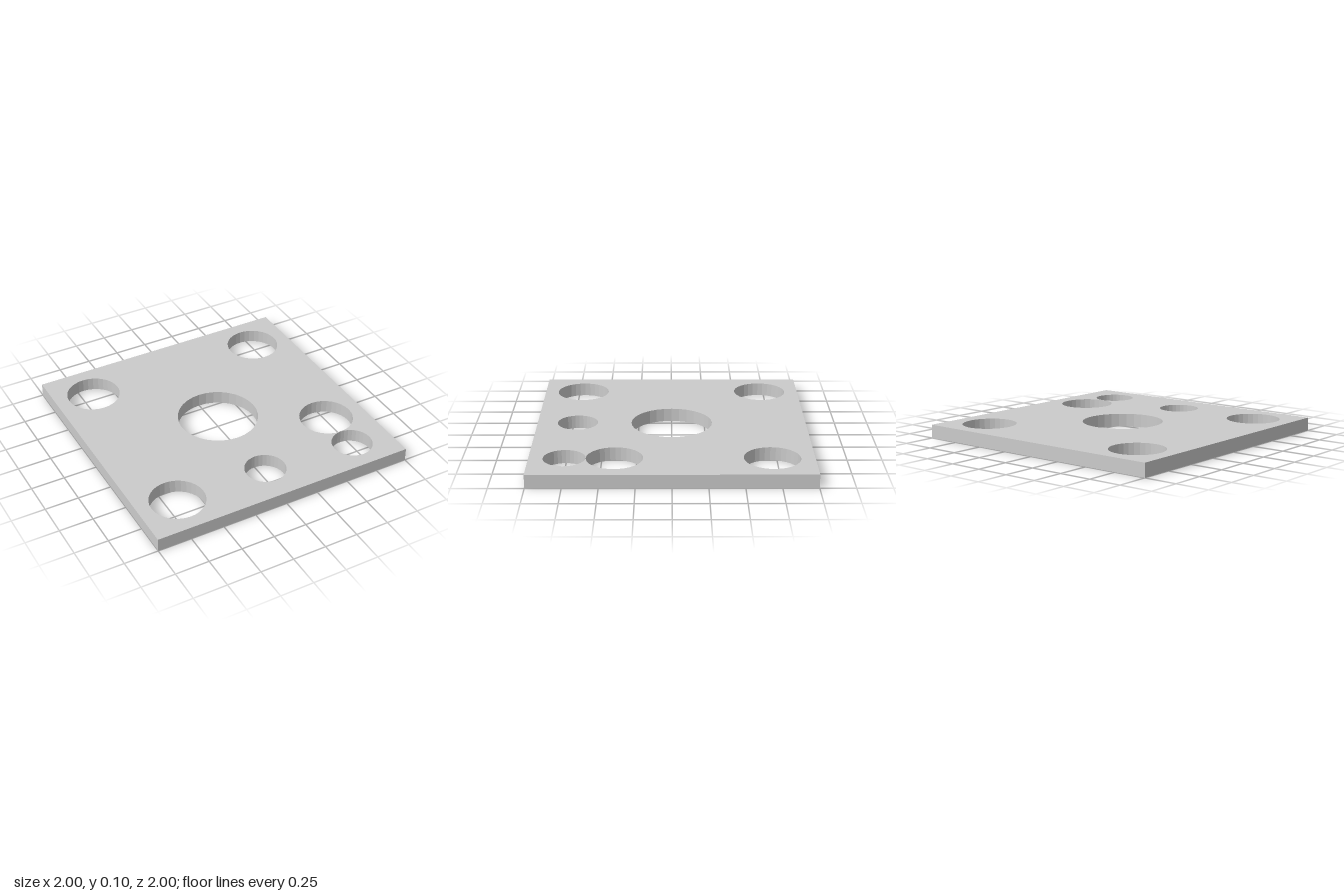
import * as THREE from 'three';

const SIDES = 32;
const THICKNESS = 0.1;

// Round holes: x, z, radius
const HOLES = [
  [0, 0, 0.3],
  [-0.7, -0.7, 0.2],
  [0.7, -0.7, 0.2],
  [-0.7, 0.7, 0.2],
  [0.7, 0.4, 0.2],
  [0, 0.7, 0.15],
  [0.7, 0.75, 0.1495], // a hair under 0.15 so it stays clear of its neighbour
];

// Faceted circular hole; the shape's y is the model's -z
function holePath(x, z, r) {
  const points = [];
  for (let i = 0; i < SIDES; i++) {
    const a = (i / SIDES) * Math.PI * 2;
    points.push(new THREE.Vector2(x + r * Math.cos(a), -z + r * Math.sin(a)));
  }
  return new THREE.Path(points);
}

export function createModel() {
  const group = new THREE.Group();
  group.name = 'perforatedPlate';

  // Square plate outline with the holes cut through
  const outline = new THREE.Shape([
    new THREE.Vector2(-1, -1),
    new THREE.Vector2(1, -1),
    new THREE.Vector2(1, 1),
    new THREE.Vector2(-1, 1),
  ]);
  outline.holes = HOLES.map(([x, z, r]) => holePath(x, z, r));

  // Extrude, then lay flat on the ground
  const geometry = new THREE.ExtrudeGeometry(outline, { depth: THICKNESS, bevelEnabled: false });
  geometry.rotateX(-Math.PI / 2);

  const plate = new THREE.Mesh(
    geometry,
    new THREE.MeshStandardMaterial({ color: 0xcccccc, flatShading: true })
  );
  plate.name = 'plate';
  group.add(plate);
  return group;
}
